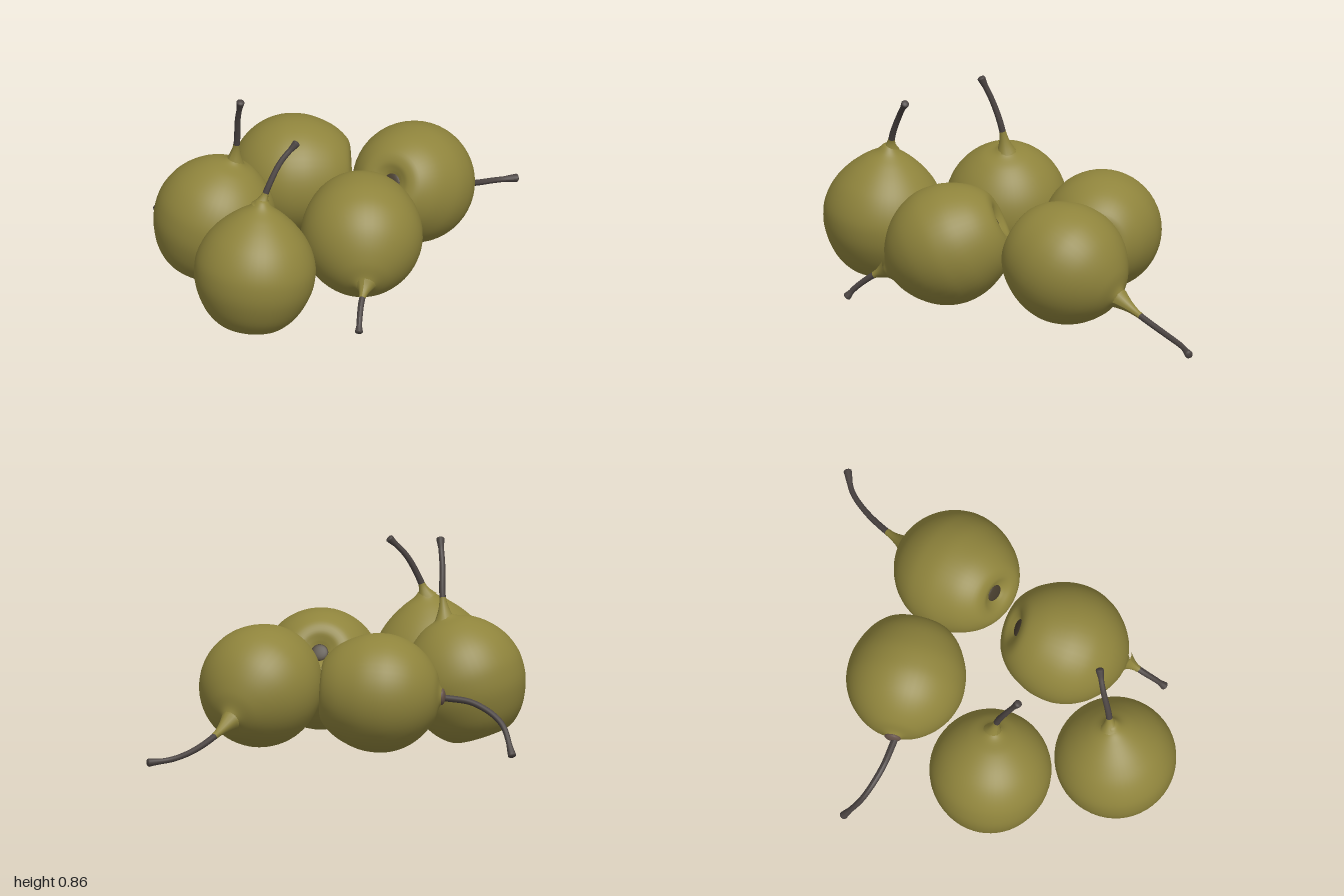
import * as THREE from 'three';

const V = (p) => new THREE.Vector3(...p);
const skin = new THREE.MeshStandardMaterial({ color: 0x8f843c });
skin.name = 'olive skin';
const wood = new THREE.MeshStandardMaterial({ color: 0x4a4341 });
wood.name = 'dark stem';
const scar = new THREE.MeshStandardMaterial({ color: 0x66534a });
scar.name = 'brown scar';
const calyxMat = new THREE.MeshStandardMaterial({ color: 0x453b2c });
calyxMat.name = 'dark calyx';

// Half outlines [radius, height above the fruit centre]: shared lower half, two kinds of shoulder
const lower = [[0, -0.222], [0.03, -0.224], [0.055, -0.237], [0.09, -0.25], [0.14, -0.238],
  [0.2, -0.178], [0.245, -0.085], [0.258, 0]];
const roundTop = [[0.25, 0.07], [0.221, 0.14], [0.172, 0.2], [0.11, 0.244], [0.05, 0.264], [0.022, 0.28], [0, 0.282]];
const pointedTop = [[0.246, 0.07], [0.212, 0.14], [0.162, 0.2], [0.105, 0.25], [0.052, 0.288], [0.022, 0.32], [0, 0.322]];

function bodyGeometry(taper) {
  const top = roundTop.map((p, i) => p.map((v, k) => v + (pointedTop[i][k] - v) * taper));
  const curve = new THREE.SplineCurve([...lower, ...top].map((p) => new THREE.Vector2(...p)));
  const points = curve.getPoints(64);
  points.forEach((p) => { p.x = Math.max(0, p.x); });
  return new THREE.LatheGeometry(points, 48);
}

// Round tube along a curve whose radius follows a rule
function taperedTube(curve, steps, radiusAt) {
  const sides = 12;
  const geo = new THREE.TubeGeometry(curve, steps, 1, sides, false);
  const pos = geo.attributes.position;
  const v = new THREE.Vector3();
  for (let i = 0; i <= steps; i++) {
    const c = curve.getPointAt(i / steps);
    for (let j = 0; j <= sides; j++) {
      const k = i * (sides + 1) + j;
      v.fromBufferAttribute(pos, k).sub(c).multiplyScalar(radiusAt(i / steps)).add(c);
      pos.setXYZ(k, v.x, v.y, v.z);
    }
  }
  geo.computeVertexNormals();
  return geo;
}

function add(parent, name, geo, mat) {
  const mesh = new THREE.Mesh(geo, mat);
  mesh.name = name;
  parent.add(mesh);
  return mesh;
}

// centre: middle of the fruit; axis: towards the stem; stem: path from neck to tip
const pears = [
  { name: 'frontLeftPear', centre: [0.372, 0.25, 0.742], axis: [0, 0.29, -0.035], taper: 0.9, size: 1, neck: 0.2,
    stem: [[0.366, 0.535, 0.706], [0.374, 0.62, 0.672], [0.38, 0.72, 0.61], [0.397, 0.792, 0.54]] },
  { name: 'frontRightPear', centre: [-0.13, 0.256, 0.567], axis: [0.05, 0.27, -0.07], taper: 0.2, size: 1, neck: 0.28,
    stem: [[-0.085, 0.505, 0.498], [-0.062, 0.62, 0.5], [-0.032, 0.73, 0.52], [0.013, 0.838, 0.54]] },
  { name: 'rightPear', centre: [-0.268, 0.256, 0.037], axis: [-0.6, -0.05, 0.76], taper: 0, size: 0.98, neck: 0,
    stem: [[-0.425, 0.237, 0.255], [-0.53, 0.218, 0.345], [-0.65, 0.142, 0.405], [-0.74, 0.016, 0.4]] },
  { name: 'backPear', centre: [0.128, 0.264, -0.3], axis: [-0.12, -0.115, -0.25], taper: 0.3, size: 1, neck: 0.26,
    stem: [[0.012, 0.15, -0.53], [-0.03, 0.09, -0.65], [-0.062, 0.045, -0.78], [-0.07, 0.022, -0.89], [-0.046, 0.014, -0.985]] },
  { name: 'leftPear', centre: [0.405, 0.264, 0.195], axis: [0.21, -0.125, 0.15], taper: 0.35, size: 1, neck: 0.32,
    stem: [[0.615, 0.155, 0.338], [0.667, 0.105, 0.402], [0.71, 0.055, 0.445], [0.735, 0.016, 0.468]] },
];

function makePear({ name, centre, axis, taper, size, neck, stem }) {
  const pear = new THREE.Group();
  pear.name = name;

  // Fruit body with the dark calyx in its base hollow
  const fruit = new THREE.Group();
  fruit.name = 'fruit';
  fruit.position.copy(V(centre));
  fruit.quaternion.setFromUnitVectors(new THREE.Vector3(0, 1, 0), V(axis).normalize());
  fruit.scale.setScalar(size);
  add(fruit, 'body', bodyGeometry(taper), skin);
  const calyx = add(fruit, 'calyx', new THREE.SphereGeometry(0.038, 20, 10), calyxMat);
  calyx.scale.y = 0.2;
  calyx.position.y = -0.226;
  pear.add(fruit);

  // Woody stem, thickening to a knob at the tip
  const curve = new THREE.CatmullRomCurve3(stem.map(V));
  add(pear, 'stem', taperedTube(curve, 32, (t) => 0.0145 - 0.003 * t + 0.006 * Math.max(0, (t - 0.88) / 0.12)), wood);
  const tip = add(pear, 'stemTip', new THREE.SphereGeometry(0.0175, 12, 8), wood);
  tip.scale.y = 0.5;
  tip.position.copy(curve.getPointAt(1));
  tip.quaternion.setFromUnitVectors(new THREE.Vector3(0, 1, 0), curve.getTangentAt(1));

  if (neck > 0) {
    // Fleshy neck flaring from the stem into the fruit
    const pts = [0, 1, 2, 3, 4].map((i) => curve.getPointAt((neck * i) / 4));
    add(pear, 'neck', taperedTube(new THREE.CatmullRomCurve3(pts), 12, (t) => 0.0145 + 0.03 * (1 - t) ** 1.8), skin);
  } else {
    // Brown scar around the foot of the stem
    const collar = add(fruit, 'stemScar', new THREE.SphereGeometry(0.036, 20, 10), scar);
    collar.scale.y = 0.4;
    collar.position.y = 0.275;
  }
  return pear;
}

export function createModel() {
  const group = new THREE.Group();
  group.name = 'pears';
  pears.forEach((p) => group.add(makePear(p)));
  return group;
}
